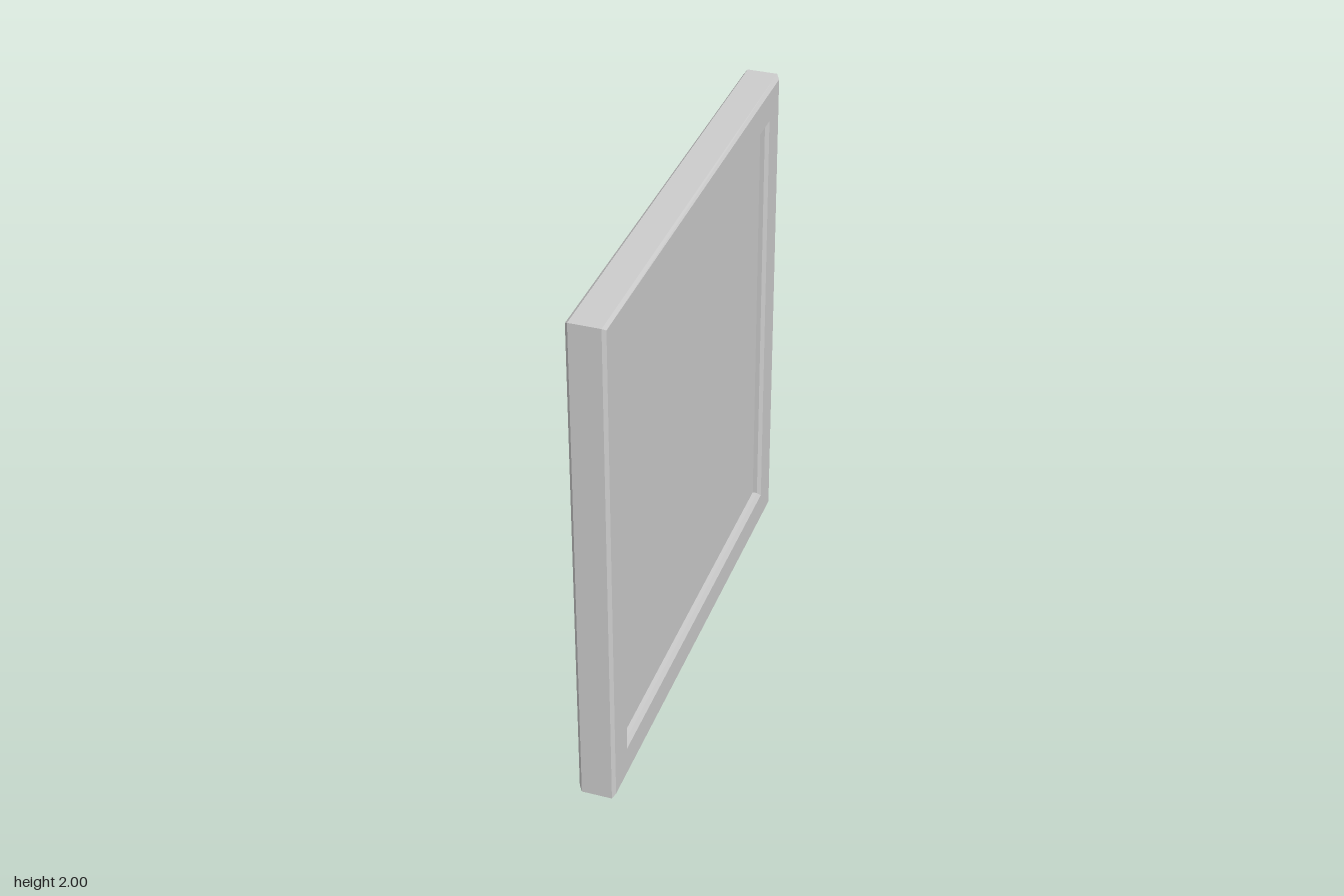
import * as THREE from 'three';

// Four-cornered loop at depth x, counter-clockwise seen from +x
const loop = (x, zPlus, zMinus, bottom, topPlus, topMinus) => [
  [x, bottom, zPlus], [x, bottom, zMinus], [x, topMinus, zMinus], [x, topPlus, zPlus],
];

function quadMesh(name, quads, material) {
  const points = quads.flatMap(([a, b, c, d]) => [a, b, c, a, c, d]).flat();
  const geometry = new THREE.BufferGeometry();
  geometry.setAttribute('position', new THREE.Float32BufferAttribute(points, 3));
  geometry.computeVertexNormals();
  const mesh = new THREE.Mesh(geometry, material);
  mesh.name = name;
  return mesh;
}

export function createModel() {
  const group = new THREE.Group();
  group.name = 'framedPanel';
  const material = new THREE.MeshStandardMaterial({ color: 0xcccccc, flatShading: true });

  // One side, from the outer rim to the recessed floor
  const front = [
    loop(0.058, 0.955, -0.955, 0, 2, 2),                 // rim
    loop(0.07, 0.943, -0.943, 0.017, 1.99, 1.984),       // outer chamfer
    loop(0.07, 0.82, -0.827, 0.13, 1.88, 1.866),         // opening
    loop(0.058, 0.802, -0.809, 0.15, 1.861, 1.854),      // inner bevel
    loop(0.04, 0.802, -0.809, 0.15, 1.861, 1.854),       // floor edge
  ];
  const back = front.map((l) => l.map(([x, y, z]) => [-x, y, z])).reverse();
  const loops = [...back, ...front];

  // Frame: skin joining each loop to the next
  const frame = [];
  for (let k = 0; k < loops.length - 1; k++) {
    for (let i = 0; i < 4; i++) {
      const j = (i + 1) % 4;
      frame.push([loops[k][i], loops[k][j], loops[k + 1][j], loops[k + 1][i]]);
    }
  }
  group.add(quadMesh('frame', frame, material));

  // Recessed panels on both sides
  group.add(quadMesh('leftPanel', [front[4]], material));
  group.add(quadMesh('rightPanel', [[...back[0]].reverse()], material));
  return group;
}
